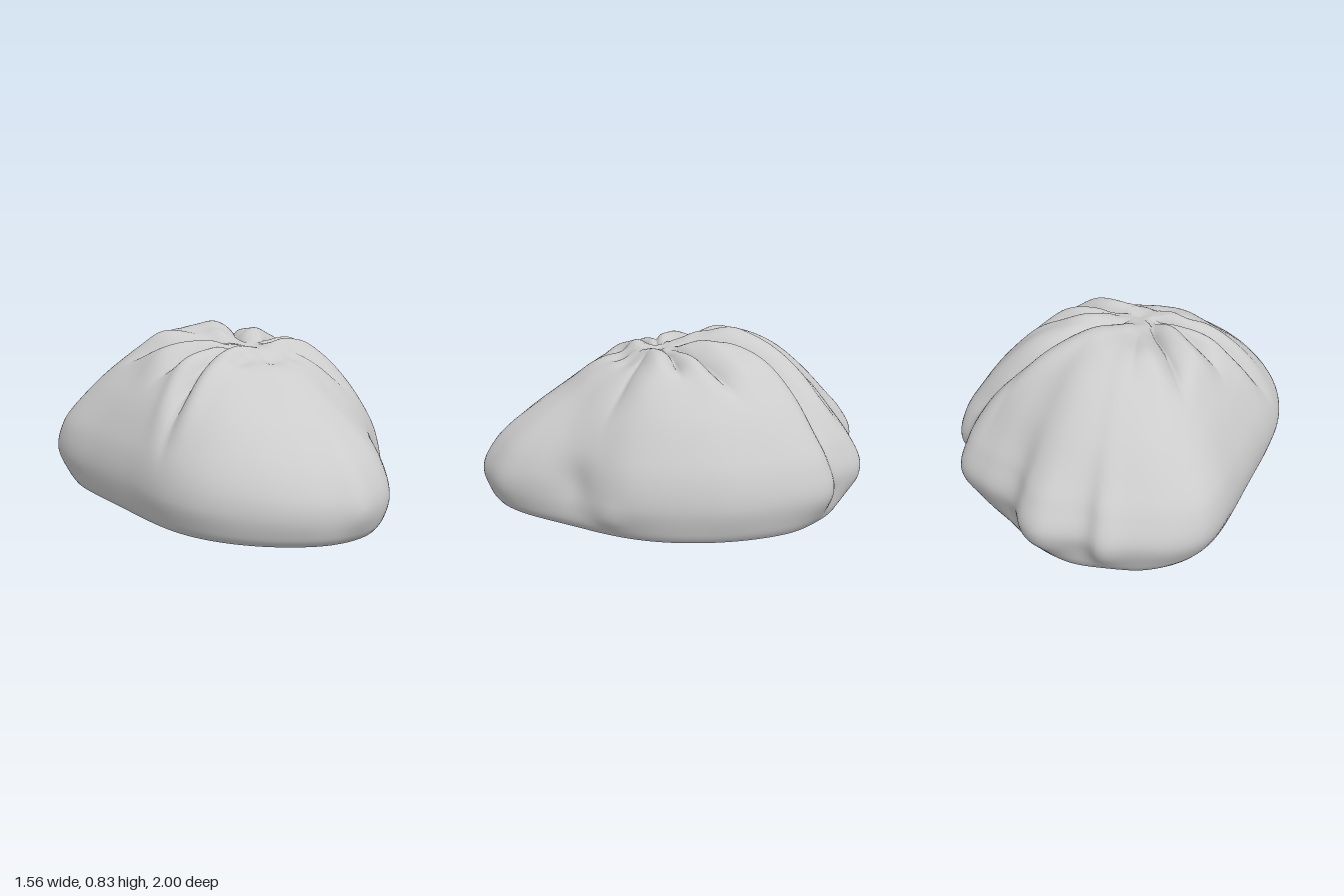
import * as THREE from 'three';

const COLS = 240, ROWS = 72, BLUR = 9;
const POLE = { x: 0.02, z: 0.1 };

// Widest outline seen from above (x, z), clockwise from the front tip
const OUTLINE = [
  [-0.02, 1], [-0.13, 0.965], [-0.25, 0.915], [-0.4, 0.81], [-0.57, 0.62], [-0.655, 0.43], [-0.7, 0.1],
  [-0.735, -0.15], [-0.77, -0.45], [-0.755, -0.6], [-0.67, -0.73], [-0.53, -0.84], [-0.44, -0.91],
  [-0.35, -0.905], [-0.17, -1], [-0.07, -0.985], [0.05, -0.9], [0.25, -0.88], [0.44, -0.83],
  [0.55, -0.67], [0.66, -0.61], [0.72, -0.5], [0.775, -0.2], [0.77, -0.02], [0.68, 0.32],
  [0.56, 0.48], [0.41, 0.66], [0.31, 0.8], [0.21, 0.91], [0.1, 0.965],
];

// Profiles from base to gathered centre: [fraction of outline radius, height]
const FRONT = [[0.96, 0.01], [0.99, 0.05], [1, 0.13], [0.975, 0.22], [0.885, 0.33], [0.74, 0.44],
  [0.56, 0.55], [0.4, 0.64], [0.26, 0.71], [0.13, 0.75], [0, 0.745]];
const BACK = [[0.935, 0.01], [0.965, 0.08], [1, 0.225], [0.945, 0.345], [0.88, 0.435], [0.75, 0.595],
  [0.57, 0.75], [0.38, 0.825], [0.22, 0.805], [0.11, 0.775], [0, 0.745]];
const SIDE = [[0.95, 0.01], [0.98, 0.055], [1, 0.17], [0.975, 0.28], [0.91, 0.39], [0.78, 0.54],
  [0.6, 0.67], [0.44, 0.735], [0.28, 0.765], [0.13, 0.76], [0, 0.745]];

// Pleats: angle near the centre, angle at the rim (degrees), width, depth, inner and outer reach
const PLEATS = [
  [-84, -52, 0.06, 0.055, 0.1, 1.05],
  [-122, -118, 0.08, 0.015, 0.16, 0.6],
  [-144, -141, 0.055, 0.055, 0.14, 0.7],
  [-176, -172, 0.05, 0.045, 0.14, 0.75],
  [170, 158, 0.045, 0.055, 0.14, 1.0],
  [-34, -27, 0.05, 0.055, 0.14, 0.75],
  [-10, -4, 0.045, 0.05, 0.12, 0.6],
  [28, 38, 0.07, 0.025, 0.2, 0.85],
  [-60, -72, 0.06, 0.02, 0.7, 1.0],
];

// Local swells and dents: x, y, z, radius, outward amount
const BLOBS = [
  [-0.25, 0.8, -0.3, 0.1, 0.03], [0.27, 0.76, -0.2, 0.1, -0.015], [-0.42, 0.7, -0.06, 0.12, 0.02],
  [0.0, 0.72, 0.29, 0.07, -0.035], [-0.16, 0.72, 0.27, 0.06, -0.03], [0.14, 0.72, 0.28, 0.06, -0.02],
  [-0.06, 0.65, 0.43, 0.1, 0.015], [0.12, 0.62, 0.44, 0.09, 0.01],
  [0.47, 0.22, 0.56, 0.11, -0.035], [0.62, 0.1, 0.42, 0.08, 0.015],
  [0.05, 0.35, 0.75, 0.22, 0.01], [-0.74, 0.33, -0.45, 0.18, 0.02],
];

const bell = (d) => Math.exp(-d * d);
const { smoothstep } = THREE.MathUtils;

// Groove with slightly puffed shoulders, summed over all pleats
function pleatOffset(theta, fraction, radius) {
  let sum = 0;
  for (const [inner, outer, width, depth, from, to] of PLEATS) {
    const centre = THREE.MathUtils.degToRad(THREE.MathUtils.lerp(inner, outer, fraction));
    const delta = Math.atan2(Math.sin(theta - centre), Math.cos(theta - centre));
    if (Math.abs(delta) > 1.2) continue;
    const d = Math.abs(delta) * Math.max(radius, 0.1) / width;
    const reach = smoothstep(fraction, from * 0.4, from * 1.8)
      * (1 - smoothstep(fraction, to * 0.65, to));
    sum += depth * reach * (0.3 * bell((d - 1.8) / 1.1) - Math.exp(-1.6 * d));
  }
  return sum;
}

// Running average round the ring, for a plain oval base and dome
function smoothRing(ring) {
  return ring.map((_, i) => {
    const sum = new THREE.Vector3();
    for (let k = -BLUR; k <= BLUR; k++) sum.add(ring[(i + k + COLS) % COLS]);
    return sum.divideScalar(2 * BLUR + 1);
  });
}

function doughGeometry() {
  const outline = new THREE.CatmullRomCurve3(
    OUTLINE.map(([x, z]) => new THREE.Vector3(x, 0, z)), true);
  const rim = outline.getSpacedPoints(COLS).slice(0, COLS);
  const smoothRim = smoothRing(rim);
  const positions = [], index = [];
  const p = new THREE.Vector3(), dir = new THREE.Vector3(), edge = new THREE.Vector3();
  for (let i = 0; i < COLS; i++) {
    const theta = Math.atan2(rim[i].z - POLE.z, rim[i].x - POLE.x);
    const s = Math.sin(theta), w = s > 0 ? s * s : Math.abs(s) ** 3, end = s > 0 ? FRONT : BACK;
    // Blend the end and side profiles for this direction
    const profile = new THREE.SplineCurve(SIDE.map(([f, y], k) => new THREE.Vector2(
      f + (end[k][0] - f) * w, y + (end[k][1] - y) * w)));
    for (let j = 0; j <= ROWS; j++) {
      const q = profile.getPoint(j / ROWS);
      // Outline bumps show round the waist and fade into the base and dome
      const bumps = smoothstep(q.y, 0.01, 0.17) * (1 - 0.7 * smoothstep(q.y, 0.3, 0.6));
      edge.lerpVectors(smoothRim[i], rim[i], bumps);
      const dx = edge.x - POLE.x, dz = edge.z - POLE.z;
      p.set(POLE.x + dx * q.x, q.y, POLE.z + dz * q.x);
      dir.set(p.x - POLE.x, (p.y - 0.1) * 1.1, p.z - POLE.z).normalize();
      let offset = pleatOffset(theta, q.x, Math.hypot(dx, dz) * q.x);
      for (const [x, y, z, r, amount] of BLOBS) {
        offset += amount * bell(Math.hypot(p.x - x, p.y - y, p.z - z) / r);
      }
      p.addScaledVector(dir, offset * smoothstep(q.y, 0.01, 0.1));
      positions.push(p.x, p.y, p.z);
      if (j < ROWS) {
        const a = i * (ROWS + 1) + j, b = ((i + 1) % COLS) * (ROWS + 1) + j;
        index.push(b, a, a + 1);
        if (j < ROWS - 1) index.push(b, a + 1, b + 1);
      }
    }
  }
  const geometry = new THREE.BufferGeometry();
  geometry.setAttribute('position', new THREE.Float32BufferAttribute(positions, 3));
  geometry.setIndex(index);
  geometry.computeVertexNormals();
  return geometry;
}

// Flat underside filling the lowest ring of the dough
function baseGeometry(dough) {
  const pos = dough.attributes.position, ring = [];
  for (let i = 0; i < COLS; i++) {
    const k = i * (ROWS + 1);
    ring.push(new THREE.Vector2(pos.getX(k), pos.getZ(k)));
  }
  const geometry = new THREE.ShapeGeometry(new THREE.Shape(ring));
  geometry.rotateX(Math.PI / 2);
  geometry.translate(0, 0.01, 0);
  return geometry;
}

export function createModel() {
  const group = new THREE.Group();
  group.name = 'pleatedBun';
  const material = new THREE.MeshStandardMaterial({ color: 0xcccccc });
  const dough = new THREE.Mesh(doughGeometry(), material);
  dough.name = 'pleatedDough';
  const base = new THREE.Mesh(baseGeometry(dough.geometry), material);
  base.name = 'flatBase';
  group.add(dough, base);
  // Rest the underside on the ground
  group.children.forEach((mesh) => mesh.geometry.translate(0, -0.005, 0));
  return group;
}
